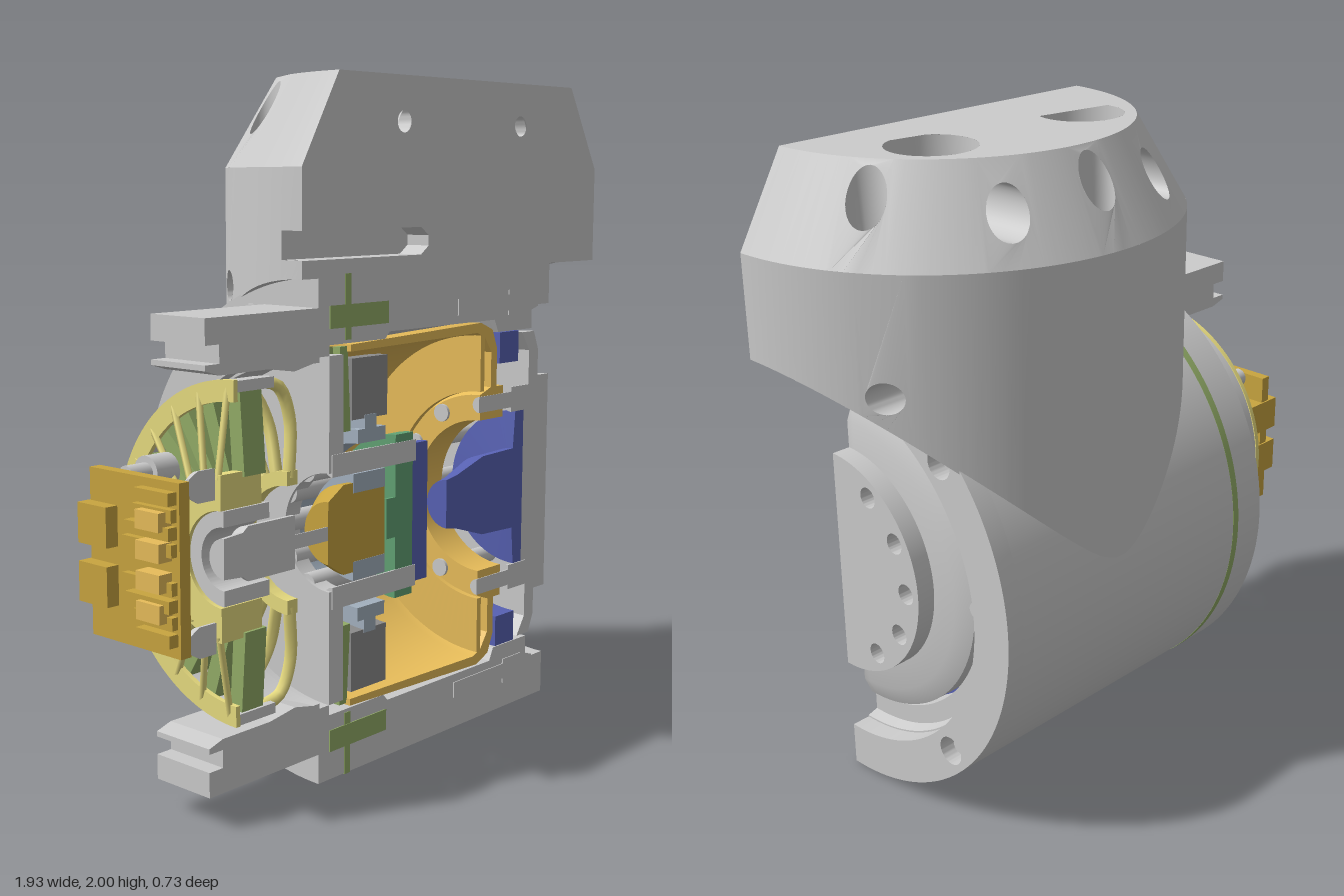
import * as THREE from 'three';
import { mergeGeometries, toCreasedNormals } from 'three/addons/utils/BufferGeometryUtils.js';

const GREY = 0xcccccc, GOLD = 0xe8bd5a, BRASS = 0xc9a540, STRAW = 0xe8dc80, GREEN = 0x93ad68,
  TEAL = 0x62a274, BLUE = 0x5862b4, STEEL = 0xa4b2c0, DARK = 0x8c8c8c;
const { PI, cos, sin, abs } = Math;
const V3 = (x, y, z) => new THREE.Vector3(x, y, z);
const path = (pts) => pts.map(([x, y]) => new THREE.Vector2(x, y));
const rect = (x0, x1, r0, r1) => [[x0, r0], [x0, r1], [x1, r1], [x1, r0]];

export function createModel() {
  const model = new THREE.Group();
  // Joint axis runs along x; the section plane is local z = 0
  const joint = new THREE.Group();
  joint.name = 'joint';
  joint.position.set(0, 0.725, 0.357);
  model.add(joint);

  function add(name, geometry, color = GREY) {
    const material = new THREE.MeshStandardMaterial({ color, side: THREE.DoubleSide });
    const mesh = new THREE.Mesh(geometry, material);
    mesh.name = name;
    joint.add(mesh);
    return mesh;
  }

  // Half-turned solid with closed section faces; profile is [axial x, radius]
  function half(name, color, profile, y = 0, lift = 0, segs = 56) {
    const p = path(profile);
    if (THREE.ShapeUtils.area(p) > 0) p.reverse();
    const lathe = new THREE.LatheGeometry([...p, p[0]].map((q) => new THREE.Vector2(q.y, q.x)), segs, 0, PI);
    lathe.applyMatrix4(new THREE.Matrix4().makeBasis(V3(0, 0, -1), V3(1, 0, 0), V3(0, -1, 0)));
    const caps = [1, -1].map((s) => new THREE.ShapeGeometry(new THREE.Shape(p.map((q) => new THREE.Vector2(q.x, q.y * s)))));
    const mesh = add(name, toCreasedNormals(mergeGeometries([lathe, ...caps]), 0.5), color);
    mesh.position.set(0, y, lift);
  }

  // Half disc facing +x with round holes given as [radius of circle, angle, hole radius]
  function halfDisc(name, x, depth, ro, ri, holes) {
    const shape = new THREE.Shape();
    shape.absarc(0, 0, ro, 0, PI);
    if (ri) shape.absarc(0, 0, ri, PI, 0, true);
    for (const [r, a, h] of holes) shape.holes.push(new THREE.Path().absarc(r * cos(a), r * sin(a), h, 0, 2 * PI));
    const g = new THREE.ExtrudeGeometry(shape, { depth, bevelEnabled: false, curveSegments: 40 });
    g.applyMatrix4(new THREE.Matrix4().makeBasis(V3(0, 1, 0), V3(0, 0, -1), V3(-1, 0, 0)));
    add(name, toCreasedNormals(g, 0.5)).position.x = x;
  }

  function rod(name, color, x0, x1, rad, y, z) {
    const g = new THREE.CylinderGeometry(rad, rad, x1 - x0, 20).rotateZ(PI / 2);
    add(name, g, color).position.set((x0 + x1) / 2, y, z);
  }
  function box(name, color, x0, x1, y0, y1, z0, z1) {
    const g = new THREE.BoxGeometry(x1 - x0, y1 - y0, z1 - z0);
    return add(name, g, color).position.set((x0 + x1) / 2, (y0 + y1) / 2, (z0 + z1) / 2);
  }
  // Box placed radially around the axis
  function spoke(name, color, x0, x1, r0, r1, w, a) {
    const g = new THREE.BoxGeometry(x1 - x0, r1 - r0, w).translate((x0 + x1) / 2, (r0 + r1) / 2, 0);
    add(name, g, color).rotation.x = -a;
  }

  // Main housing, rim and output flange
  half('housing', GREY, [[-0.405, 0.722], [0.645, 0.722], [0.645, 0.58], [0.61, 0.57], [0.61, 0.51], [0.43, 0.51],
    [0.41, 0.55], [-0.1, 0.55], [-0.12, 0.53], [-0.36, 0.53], [-0.36, 0.5], [-0.405, 0.5]], 0, 0, 80);
  halfDisc('housingRim', 0.705, 0.06, 0.722, 0.585, [[0.655, PI / 4, 0.045], [0.655, 0.75 * PI, 0.045]]);
  for (const a of [PI / 4, 0.75 * PI]) rod('rimScrew', GREY, 0.64, 0.67, 0.026, 0.655 * cos(a), -0.655 * sin(a));
  half('outputBearing', GREY, [[0.6, 0.25], [0.6, 0.44], [0.56, 0.5], [0.625, 0.5], [0.65, 0.44], [0.65, 0.25]]);
  halfDisc('outputFlange', 0.71, 0.06, 0.355, 0, [1, 2, 3, 4, 5].map((i) => [0.3, (i * PI) / 6, 0.032]));
  half('outputHub', GREY, rect(0.575, 0.65, 0, 0.25));
  rod('locatingPin', GREY, 0.6, 0.635, 0.025, 0, -0.515);
  half('sealRing', BLUE, rect(0.44, 0.54, 0.41, 0.508));
  half('gasket', GREEN, rect(-0.295, -0.27, 0.54, 0.7245), 0, 0.002, 80);

  // Strain-wave cup and motor section
  half('flexCup', GOLD, [[-0.27, 0.525], [0.34, 0.545], [0.4, 0.52], [0.425, 0.46], [0.425, 0.34], [0.46, 0.34], [0.46, 0.24],
    [0.34, 0.24], [0.34, 0.32], [0.395, 0.34], [0.395, 0.45], [0.36, 0.5], [0.32, 0.515], [-0.27, 0.505]]);
  half('cupDiaphragm', GOLD, rect(0.34, 0.36, 0.33, 0.505));
  half('rotor', DARK, rect(-0.265, -0.11, 0.31, 0.485));
  half('bearingRace', STEEL, [[-0.24, 0.24], [-0.24, 0.28], [-0.21, 0.28], [-0.21, 0.32], [-0.16, 0.32], [-0.16, 0.28], [-0.12, 0.28], [-0.12, 0.24]], 0, 0.002);
  half('innerRace', STEEL, rect(-0.26, -0.12, 0.1, 0.155), 0, 0.002);
  half('sleeve', BRASS, [[-0.365, 0], [-0.365, 0.09], [-0.3, 0.13], [-0.12, 0.13], [-0.12, 0]], 0, 0.001);
  half('supportPlate', GREY, rect(-0.36, -0.3, 0.17, 0.5));
  half('couplingDisc', TEAL, [[-0.11, 0], [-0.11, 0.06], [-0.07, 0.06], [-0.07, 0.245], [0.01, 0.245], [0.01, 0]]);
  half('couplingPlate', BLUE, rect(0.01, 0.08, 0, 0.21));
  half('outputShaft', BLUE, [[0.175, 0], [0.175, 0.075], [0.23, 0.085], [0.36, 0.125], [0.52, 0.13], [0.53, 0.25], [0.575, 0.25], [0.575, 0]]);
  for (let i = 0; i < 30; i++) spoke('windingTooth', GREEN, -0.3, -0.268, 0.28, 0.52, 0.026, ((i + 0.5) * PI) / 30);

  // Screws lying on the section plane and around the half turn
  for (const s of [1, -1]) {
    half('rearBolt', GREEN, rect(-0.36, -0.11, 0, 0.032), s * 0.607, 0.004, 12);
    half('frontBolt', GREY, [[0.22, 0], [0.22, 0.025], [0.48, 0.025], [0.48, 0.04], [0.58, 0.04], [0.58, 0]], s * 0.6, 0.004, 12);
    half('carrierPin', GREY, rect(-0.35, 0.02, 0, 0.032), s * 0.19, 0.004, 12);
    half('hubScrew', GREY, [[0.33, 0], [0.33, 0.025], [0.5, 0.025], [0.5, 0.04], [0.6, 0.04], [0.6, 0]], s * 0.29, 0.004, 12);
  }
  for (let i = 1; i < 6; i++) {
    const a = (i * PI) / 6;
    rod('carrierPin', GREY, -0.35, 0.02, 0.032, 0.19 * cos(a), -0.19 * sin(a));
    rod('hubScrew', GREY, 0.33, 0.6, 0.028, 0.29 * cos(a), -0.29 * sin(a));
  }

  // Rear collar with pads and bracket arms
  half('rearCollar', GREY, rect(-0.52, -0.4, 0.485, 0.61));
  for (let i = 1; i < 6; i++) spoke('collarPad', GREY, -0.56, -0.5, 0.49, 0.57, 0.16, (i * PI) / 6);
  for (let i = 1; i < 8; i++) rod('collarScrew', GREY, -0.425, -0.4, 0.02, 0.665 * cos((i * PI) / 8), -0.665 * sin((i * PI) / 8));
  for (const s of [1, -1]) {
    const arm = new THREE.Shape(path([[-0.83, 0.635], [-0.4, 0.635], [-0.4, 0.49], [-0.5, 0.47], [-0.6, 0.485], [-0.78, 0.485],
      [-0.83, 0.5], [-0.83, 0.515], [-0.78, 0.515], [-0.78, 0.565], [-0.83, 0.565]].map(([x, y]) => [x, y * s])));
    add('bracketArm', new THREE.ExtrudeGeometry(arm, { depth: 0.205, bevelEnabled: false })).position.z = -0.205;
    rod('standoff', GREY, -0.82, -0.74, 0.048, s * 0.205, -0.245);
    rod('standoffNeck', GREY, -0.89, -0.82, 0.03, s * 0.205, -0.245);
    half('boardScrew', GREY, [[-0.89, 0], [-0.89, 0.025], [-0.86, 0.042], [-0.8, 0.042], [-0.8, 0]], s * 0.205, 0, 12);
  }

  // Brake: ring, coils, curved ribs and shaft
  half('brakeRing', GREY, rect(-0.715, -0.58, 0.435, 0.465));
  half('brakeRingEdge', STRAW, rect(-0.73, -0.715, 0.41, 0.468));
  half('brakeHub', STRAW, rect(-0.78, -0.63, 0.13, 0.225));
  half('brakeHubCore', GREY, rect(-0.77, -0.6, 0.085, 0.128));
  half('brakeInnerRing', STRAW, rect(-0.53, -0.49, 0.16, 0.2));
  half('brakeShaft', GREY, [[-0.77, 0], [-0.77, 0.055], [-0.7, 0.06], [-0.68, 0.075], [-0.5, 0.075], [-0.5, 0.02], [-0.36, 0.02], [-0.36, 0]]);
  for (let i = 0; i < 13; i++) {
    const a = 0.07 + (i * (PI - 0.14)) / 12;
    spoke('brakeCoil', GREEN, -0.7, -0.62, 0.21, 0.436, 0.045, a);
    const curve = new THREE.CatmullRomCurve3([V3(-0.6, 0.45, 0), V3(-0.53, 0.43, 0), V3(-0.495, 0.34, 0), V3(-0.51, 0.18, 0)]);
    add('brakeRib', new THREE.TubeGeometry(curve, 14, 0.018, 6), STRAW).rotation.x = -a;
    const fin = new THREE.CatmullRomCurve3([V3(-0.775, 0.21, 0), V3(-0.72, 0.45, 0)]);
    add('brakeFin', new THREE.TubeGeometry(fin, 2, 0.01, 5), STRAW).rotation.x = -a;
  }

  // Circuit board with connectors
  box('circuitBoard', BRASS, -0.925, -0.89, -0.235, 0.225, -0.35, 0);
  for (const s of [1, -1]) {
    box('connector', BRASS, -0.965, -0.83, s * 0.08 - 0.055, s * 0.08 + 0.055, -0.355, -0.24);
    for (let i = 0; i < 4; i++) box('boardChip', BRASS, -0.945 - 0.01 * (i % 2), -0.92, s * (0.05 + 0.045 * i) - 0.017, s * (0.05 + 0.045 * i) + 0.017, -0.2 + 0.02 * i, -0.01);
  }
  for (let i = 0; i < 4; i++) box('boardTerminal', GOLD, -0.97, -0.92, -0.14 + 0.08 * i, -0.09 + 0.08 * i, -0.12, -0.03);

  // Upright mount: round wall and chamfer, mapped from (angle, height) panels
  const CX = 0.245, R = 0.715, SHOULDER = 1.015, TOP = 1.275;
  const onWall = (a, y) => {
    const r = R - Math.max(0, y - SHOULDER) * 0.577;
    return V3(CX + r * cos(a), y, -r * sin(a));
  };
  const saddle = (a) => R * abs(cos(a));
  const skin = [], bores = [];
  function panel(a0, a1, low, high, hole) {
    const pts = [[a1, high], [a0, high]];
    for (let i = 0; i <= 4; i++) { const a = a0 + ((a1 - a0) * i) / 4; pts.push([a, low(a)]); }
    const shape = new THREE.Shape(path(pts));
    if (hole) shape.holes.push(new THREE.Path().absellipse(hole.a, hole.y, hole.w, hole.h, 0, 2 * PI));
    const g = new THREE.ShapeGeometry(shape, 14), pos = g.attributes.position;
    for (let i = 0; i < pos.count; i++) pos.setXYZ(i, ...onWall(pos.getX(i), pos.getY(i)).toArray());
    skin.push(g);
    if (hole) bore(hole);
  }
  // Counterbore swept from a hole edge to a flat seat, with a narrower hole beyond
  function bore({ a, y, w, h, dir, seat, end }) {
    const c = onWall(a, y), g = new THREE.PlaneGeometry(1, 1, 32, 3), pos = g.attributes.position;
    for (let i = 0; i < pos.count; i++) {
      const t = ((i % 33) / 32) * 2 * PI, row = Math.floor(i / 33), p = onWall(a + w * cos(t), y + h * sin(t));
      if (row > 0) p[dir] = seat;
      if (row > 1) for (const k of ['x', 'y', 'z']) if (k !== dir) p[k] = c[k] + (p[k] - c[k]) * 0.55;
      if (row > 2) p[dir] = end;
      pos.setXYZ(i, p.x, p.y, p.z);
    }
    bores.push(toCreasedNormals(g, 0.6));
  }
  function band(holes, low, high, from, to) {
    let a = from;
    const fill = (end) => {
      const n = Math.max(1, Math.ceil((end - a) / 0.06)), d = (end - a) / n;
      for (let i = 0; i < n; i++) panel(a + i * d, a + (i + 1) * d, low, high);
    };
    for (const hole of holes) {
      fill(hole.a - hole.w - 0.015);
      a = hole.a + hole.w + 0.015;
      panel(hole.a - hole.w - 0.015, a, low, high, hole);
    }
    fill(to);
  }
  const down = (a) => ({ a, y: 1.185, w: 0.09, h: 0.075, dir: 'y', seat: 1.07, end: 0.95 });
  const back = (a) => ({ a, y: 1.145, w: 0.09, h: 0.07, dir: 'z', seat: -0.42, end: 0 });
  const side = (a, s) => ({ a, y: 0.675, w: 0.077, h: 0.045, dir: 'x', seat: CX + s * 0.47, end: CX + s * 0.4 });
  band([down(0.53), back(1.11), down(PI / 2), back(PI - 1.11), down(PI - 0.53)], () => SHOULDER, TOP, 0, PI);
  const slotA = PI - 0.112;
  band([side(0.61, 1), side(PI - 0.61, -1)], saddle, SHOULDER, 0, slotA);
  band([], saddle, 0.765, slotA, PI);
  band([], () => 0.845, SHOULDER, slotA, PI);
  add('mountWall', toCreasedNormals(mergeGeometries(skin), 0.4));
  add('mountScrewHoles', mergeGeometries(bores));

  // Top face with two round sockets
  const top = new THREE.Shape().absarc(CX, 0, 0.565, 0, PI);
  for (const s of [1, -1]) {
    top.holes.push(new THREE.Path().absarc(CX + s * 0.285, 0.285, 0.128, 0, 2 * PI));
    add('socketWall', new THREE.CylinderGeometry(0.128, 0.128, 0.25, 40, 1, true)).position.set(CX + s * 0.285, TOP - 0.125, -0.285);
    add('socketFloor', new THREE.CircleGeometry(0.128, 40).rotateX(-PI / 2)).position.set(CX + s * 0.285, TOP - 0.25, -0.285);
  }
  add('mountTop', new THREE.ShapeGeometry(top, 48).rotateX(-PI / 2)).position.y = TOP;

  // Flat section face with the cable slot and two screw holes
  const face = new THREE.Shape(path([[-0.47, 0.715], [0.96, 0.715], [0.96, SHOULDER], [0.81, TOP], [-0.32, TOP], [-0.47, SHOULDER],
    [-0.47, 0.845], [0.04, 0.845], [0.075, 0.82], [0.075, 0.79], [0.04, 0.765], [-0.47, 0.765]]));
  for (const s of [1, -1]) face.holes.push(new THREE.Path().absarc(CX + s * 0.285, 1.145, 0.031, 0, 2 * PI));
  add('mountSectionFace', new THREE.ShapeGeometry(face, 20));
  const slot = path([[-0.463, 0.845], [0.04, 0.845], [0.075, 0.82], [0.075, 0.79], [0.04, 0.765], [-0.463, 0.765]]);
  add('slotFloor', new THREE.ShapeGeometry(new THREE.Shape(slot))).position.z = -0.08;
  for (let i = 0; i < 5; i++) {
    const p = slot[i], q = slot[i + 1];
    const g = new THREE.BufferGeometry().setFromPoints([[p, 0], [p, -0.08], [q, -0.08], [p, 0], [q, -0.08], [q, 0]].map(([v, z]) => V3(v.x, v.y, z)));
    g.computeVertexNormals();
    add('slotWall', g);
  }

  // Arched undersides where the mount overhangs the housing ends
  for (const [s, limit] of [[1, 0.705], [-1, -0.405]]) {
    const span = Math.acos(abs(limit - CX) / R), g = new THREE.PlaneGeometry(1, 1, 24, 1), pos = g.attributes.position;
    for (let i = 0; i < pos.count; i++) {
      const a = ((i % 25) / 24) * span;
      pos.setXYZ(i, i < 25 ? limit : CX + s * R * cos(a), saddle(a), -R * sin(a));
    }
    if (s > 0) g.index.array.reverse();
    g.computeVertexNormals();
    add('mountUnderside', g);
  }
  return model;
}
